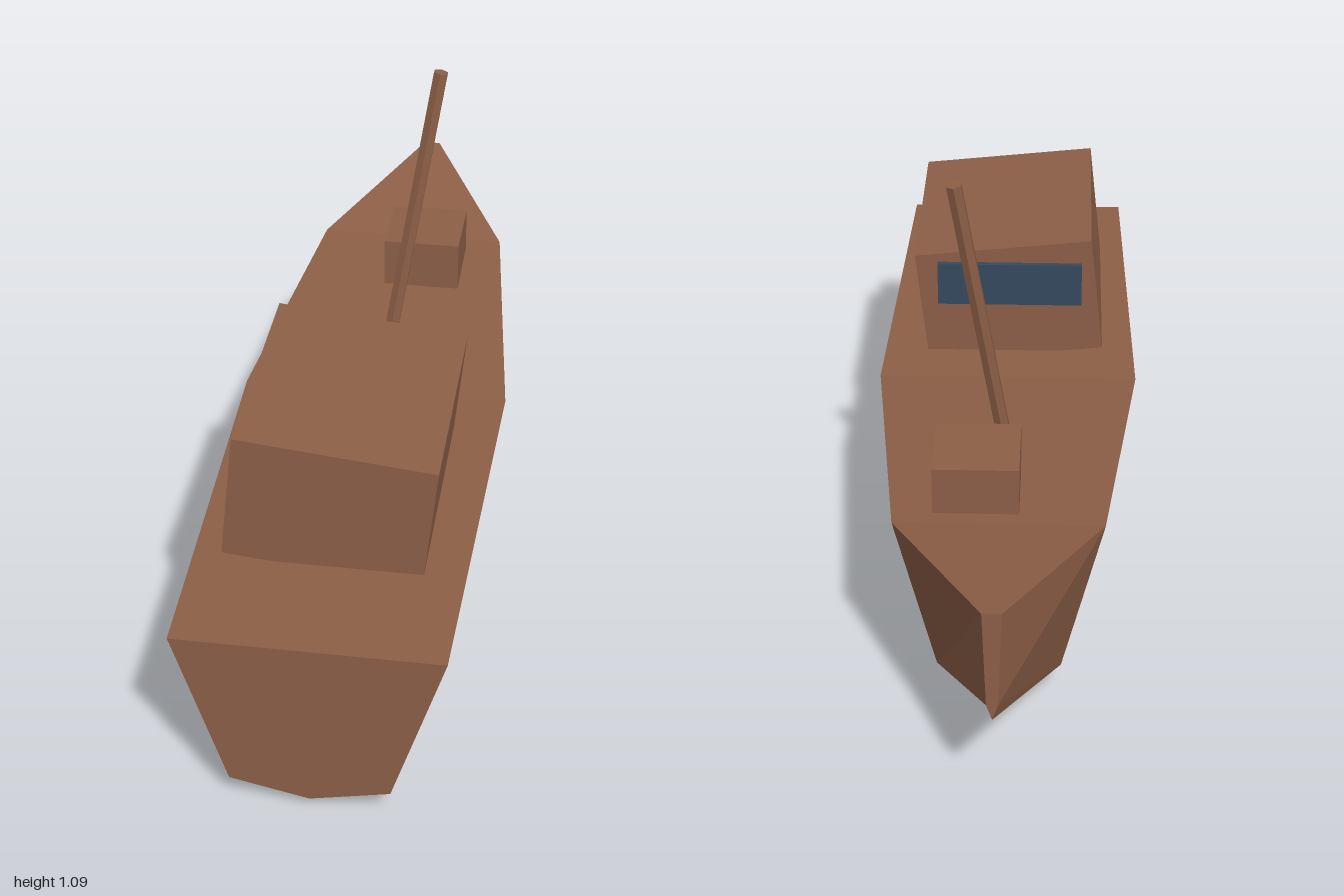
import * as THREE from 'three';

const wood = new THREE.MeshStandardMaterial({ color: 0x8d5f47 });
wood.name = 'brown wood';
const glass = new THREE.MeshStandardMaterial({ color: 0x34495e });
glass.name = 'dark blue glass';

// Hull stations from stern to bow: z, deck half width, deck y, chine half width, chine y, keel y
const STATIONS = [
  [1, 0.28, 0.426, 0.168, 0.067, 0.03],
  [0.07, 0.305, 0.426, 0.183, 0.041, 0.003],
  [-0.6, 0.226, 0.466, 0.136, 0.095, 0.058],
  [-1, 0.02, 0.535, 0.012, 0.31, 0.273],
];

function hullGeometry() {
  const rings = STATIONS.map(([z, dw, dy, cw, cy, ky]) => [
    [dw, dy, z], [-dw, dy, z], [-cw, cy, z], [0, ky, z], [cw, cy, z],
  ]);
  const pos = [];
  const tri = (a, b, c) => pos.push(...a, ...b, ...c);
  // Deck, sides and bottom between neighbouring stations
  for (let i = 0; i < rings.length - 1; i++) {
    const a = rings[i], b = rings[i + 1];
    for (let k = 0; k < 5; k++) {
      const n = (k + 1) % 5;
      tri(a[k], b[k], b[n]);
      tri(a[k], b[n], a[n]);
    }
  }
  // Transom and blunt stem
  const stern = rings[0], bow = rings[rings.length - 1];
  for (let k = 1; k < 4; k++) {
    tri(stern[0], stern[k], stern[k + 1]);
    tri(bow[0], bow[k + 1], bow[k]);
  }
  const g = new THREE.BufferGeometry();
  g.setAttribute('position', new THREE.Float32BufferAttribute(pos, 3));
  g.computeVertexNormals();
  return g;
}

export function createModel() {
  const boat = new THREE.Group();
  boat.name = 'boat';
  const add = (name, geometry, material, x = 0, y = 0, z = 0) => {
    const mesh = new THREE.Mesh(geometry, material);
    mesh.name = name;
    mesh.position.set(x, y, z);
    boat.add(mesh);
    return mesh;
  };

  add('hull', hullGeometry(), wood);

  // Cabin leans to one side; its window stays level
  const cabin = add('cabin', new THREE.BoxGeometry(0.424, 0.292, 0.53), wood, 0, 0.56, 0.465);
  cabin.rotation.z = -0.106;
  add('cabinWindow', new THREE.BoxGeometry(0.345, 0.107, 0.016), glass, -0.001, 0.614, 0.194);

  // Deck box
  add('deckBox', new THREE.BoxGeometry(0.185, 0.185, 0.185), wood, 0.05, 0.481, -0.467);

  // Leaning mast
  const foot = new THREE.Vector3(0, 0.43, -0.2);
  const tip = new THREE.Vector3(0.104, 1.094, -0.265);
  const along = tip.clone().sub(foot);
  const mastGeometry = new THREE.CylinderGeometry(0.018, 0.018, along.length(), 6).toNonIndexed();
  mastGeometry.computeVertexNormals();
  const mast = add('mast', mastGeometry, wood);
  mast.position.copy(foot).add(tip).multiplyScalar(0.5);
  mast.quaternion.setFromUnitVectors(new THREE.Vector3(0, 1, 0), along.normalize());

  return boat;
}
